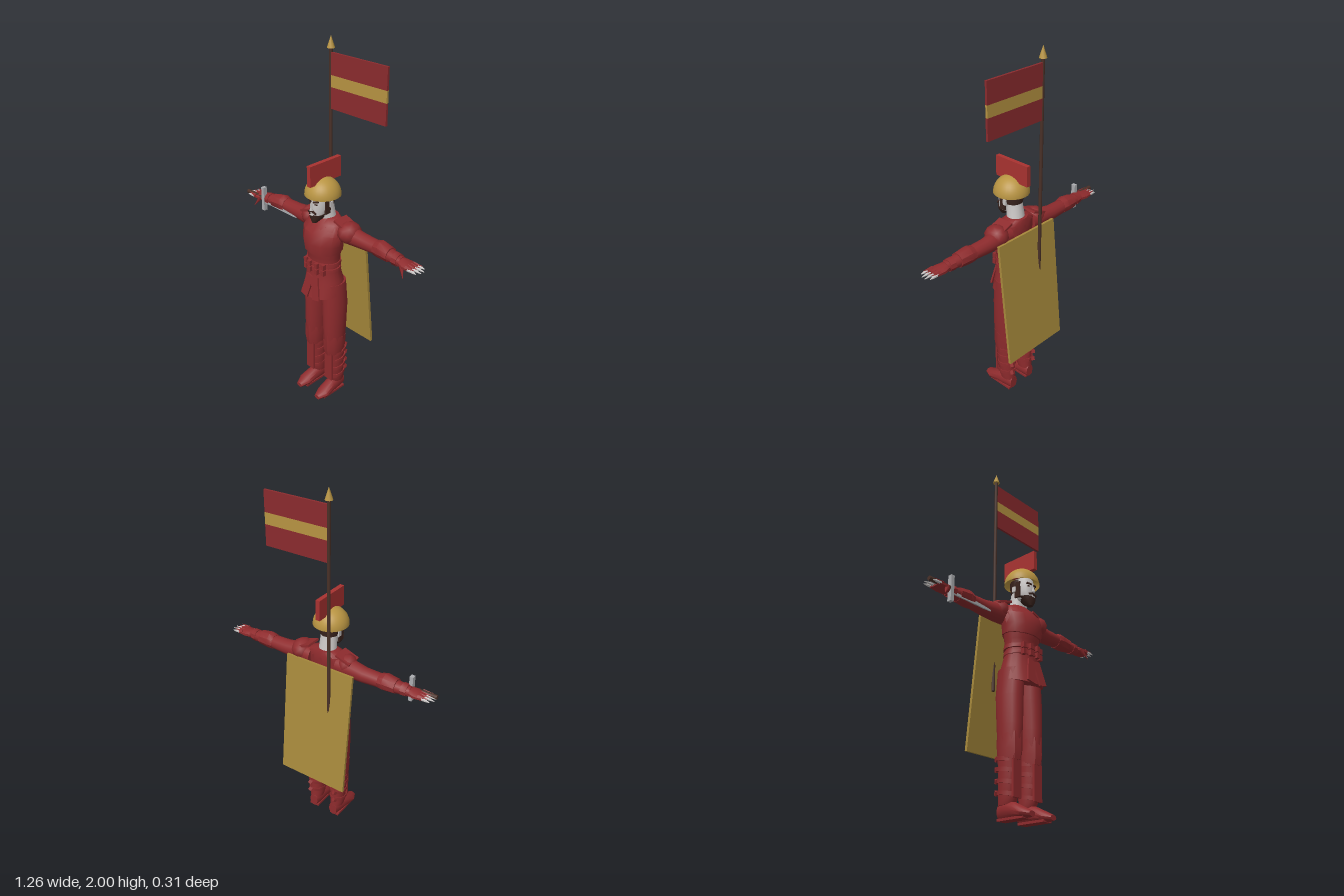
import * as THREE from 'three';
import { toCreasedNormals } from 'three/addons/utils/BufferGeometryUtils.js';

const paint = (name, color, side = THREE.FrontSide) => {
  const m = new THREE.MeshStandardMaterial({ color, side });
  m.name = name;
  return m;
};

// Skin through elliptical sections [y, cx, cz, rx, rz, tilt], lowest first
function loft(sections, sides = 16) {
  const pos = [], idx = [], n = sections.length;
  for (const [y, cx, cz, rx, rz, tilt = 0] of sections)
    for (let i = 0; i < sides; i++) {
      const a = (i / sides) * Math.PI * 2, z = cz + rz * Math.sin(a);
      pos.push(cx + rx * Math.cos(a), y - tilt * z, z);
    }
  for (const [y, cx, cz, , , tilt = 0] of [sections[0], sections[n - 1]]) pos.push(cx, y - tilt * cz, cz);
  const low = n * sides, high = low + 1;
  for (let i = 0; i < sides; i++) {
    const j = (i + 1) % sides, t = (n - 1) * sides;
    for (let r = 0; r < n - 1; r++) {
      const a = r * sides + i, b = r * sides + j;
      idx.push(a, a + sides, b, b, a + sides, b + sides);
    }
    idx.push(low, i, j, high, t + j, t + i);
  }
  const g = new THREE.BufferGeometry();
  g.setAttribute('position', new THREE.Float32BufferAttribute(pos, 3));
  g.setIndex(idx);
  return toCreasedNormals(g, 0.7);
}

export function createModel() {
  const model = new THREE.Group();
  const red = paint('clothRed', 0x8e2b2d), flagRed = paint('flagRed', 0x8b2b2e);
  const crestRed = paint('crestRed', 0xa93230), gold = paint('gold', 0xb89442, THREE.DoubleSide);
  const capeGold = paint('capeGold', 0xa88a3c), skin = paint('paleSkin', 0xc8c4c3);
  const hair = paint('darkHair', 0x3a231d), wood = paint('wood', 0x4a3128), metal = paint('metal', 0xacadb0);

  const add = (name, geo, mat, x = 0, y = 0, z = 0, parent = model) => {
    const m = new THREE.Mesh(geo, mat);
    m.name = name;
    m.position.set(x, y, z);
    parent.add(m);
    return m;
  };
  const box = (name, mat, w, h, d, x, y, z, parent) =>
    add(name, new THREE.BoxGeometry(w, h, d), mat, x, y, z, parent);

  // Tunic with a flared skirt whose hem hangs lower in front
  add('tunic', loft([
    [0.685, 0, 0.02, 0.12, 0.108, 0.22], [0.76, 0, 0.02, 0.112, 0.086, 0.1],
    [0.84, 0, 0.025, 0.095, 0.07], [0.9, 0, 0.025, 0.1, 0.076], [0.97, 0, 0.03, 0.114, 0.088],
    [1.04, 0, 0.02, 0.125, 0.084], [1.09, 0, 0, 0.11, 0.066], [1.115, 0, -0.01, 0.06, 0.05],
  ], 20), red);
  add('chestLayer', loft([
    [0.935, 0, 0.027, 0.115, 0.09, 0.1], [0.98, 0, 0.03, 0.121, 0.094],
    [1.04, 0, 0.022, 0.127, 0.087], [1.08, 0, 0.004, 0.112, 0.07],
  ], 12), red);
  for (const y of [0.815, 0.85]) {
    add('belt', loft([[y, 0, 0.025, 0.106, 0.081], [y + 0.022, 0, 0.025, 0.104, 0.079]]), red);
    for (const x of [-0.06, -0.02, 0.03, 0.065])
      box('beltTab', red, 0.02, 0.03, 0.02, x, y + 0.008, 0.11 - 4 * x * x);
  }
  for (const s of [-1, 1]) {
    const panel = box('skirtPanel', red, 0.05, 0.13, 0.01, s * 0.03, 0.72, 0.118);
    panel.rotation.set(-0.16, 0, s * 0.22);
  }

  // Head, face and beard
  add('neck', loft([[1.06, 0, -0.008, 0.064, 0.05], [1.12, 0, 0.002, 0.047, 0.046],
    [1.2, 0, 0.015, 0.042, 0.045]]), skin);
  add('head', loft([[1.12, 0, 0.075, 0.024, 0.028], [1.14, 0, 0.06, 0.042, 0.045],
    [1.18, 0, 0.046, 0.05, 0.06], [1.22, 0, 0.04, 0.053, 0.066], [1.26, 0, 0.035, 0.05, 0.06]]), skin);
  add('beard', loft([[1.1, 0, 0.088, 0.013, 0.016], [1.125, 0, 0.074, 0.036, 0.036],
    [1.15, 0, 0.067, 0.047, 0.044], [1.168, 0, 0.058, 0.05, 0.046, 0.25]]), hair);
  add('hair', loft([[1.19, 0, 0.018, 0.05, 0.05], [1.225, 0, 0.02, 0.056, 0.057],
    [1.255, 0, 0.022, 0.056, 0.06]]), hair);
  const nose = add('nose', new THREE.ConeGeometry(0.012, 0.045, 4), skin, 0, 1.196, 0.109);
  nose.rotation.x = -0.15;
  box('mouth', skin, 0.02, 0.005, 0.006, 0, 1.148, 0.111);
  for (const s of [-1, 1]) {
    const brow = box('eyebrow', hair, 0.03, 0.009, 0.008, s * 0.021, 1.222, 0.1);
    brow.rotation.set(0, s * 0.35, s * 0.2);
    box('eye', hair, 0.014, 0.007, 0.006, s * 0.021, 1.208, 0.098).rotation.y = s * 0.35;
    box('moustache', hair, 0.028, 0.009, 0.008, s * 0.014, 1.164, 0.107).rotation.z = -s * 0.35;
    box('sideburn', hair, 0.008, 0.09, 0.035, s * 0.05, 1.195, 0.045);
    box('ear', skin, 0.01, 0.03, 0.02, s * 0.055, 1.2, 0.025);
  }

  // Domed helmet with an upright crest
  add('helmet', new THREE.SphereGeometry(0.095, 28, 12, 0, Math.PI * 2, 0, Math.PI / 2), gold, 0, 1.24, 0.03);
  box('helmetCrest', crestRed, 0.024, 0.11, 0.215, 0, 1.362, 0.02);

  for (const s of [-1, 1]) {
    // Arm pieces run outward along x: sections [x, y, z, ry, rz]
    const limb = (name, mat, rows, sides = 14) => {
      const g = loft(rows.map(([x, y, z, ry, rz]) => [x, -s * y, z, ry, rz]), sides);
      return add(name, g.rotateZ(-s * Math.PI / 2), mat);
    };
    limb('sleeve', red, [[0.08, 1.045, -0.01, 0.05, 0.055], [0.15, 1.045, -0.015, 0.052, 0.048],
      [0.24, 1.04, -0.02, 0.042, 0.042], [0.33, 1.042, -0.02, 0.037, 0.04],
      [0.42, 1.038, -0.015, 0.034, 0.036], [0.5, 1.035, -0.01, 0.025, 0.03]]);
    limb('elbowCuff', red, [[0.33, 1.042, -0.019, 0.04, 0.042], [0.36, 1.045, -0.019, 0.046, 0.046],
      [0.425, 1.04, -0.015, 0.039, 0.041]], 9);
    limb('bracer', red, [[0.455, 1.037, -0.012, 0.034, 0.037], [0.485, 1.036, -0.01, 0.032, 0.035]], 9);
    limb('glove', red, [[0.49, 1.035, -0.01, 0.023, 0.03], [0.53, 1.034, -0.008, 0.02, 0.042],
      [0.58, 1.033, -0.006, 0.012, 0.038]], 10);
    for (let i = 0; i < 4; i++) {
      const z = -0.035 + i * 0.02, tip = i === 0 || i === 3 ? 0.615 : 0.63;
      limb('finger', skin, [[0.565, 1.034, z, 0.008, 0.009], [0.595, 1.034, z * 1.05, 0.007, 0.008],
        [tip, 1.032, z * 1.1, 0.002, 0.002]], 6);
      limb('gloveShred', red, [[0.55, 1.04, z, 0.01, 0.012], [0.605, 1.045, z, 0.001, 0.001]], 4);
    }
    const thumb = add('thumb', new THREE.ConeGeometry(0.014, 0.07, 5), red, s * 0.535, 1.008, 0.03);
    thumb.rotation.set(-0.4, 0, Math.PI + s * 0.5);

    // Faceted shoulder guard, larger on the left
    const big = s > 0;
    const pad = add('shoulderGuard', new THREE.IcosahedronGeometry(1, 1), red, s * (big ? 0.152 : 0.13), 1.06, -0.01);
    pad.scale.set(big ? 0.06 : 0.05, 0.058, big ? 0.068 : 0.055);
    pad.rotation.z = -s * 0.3;
    const flap = box('shoulderFlap', red, 0.09, 0.012, 0.09, s * 0.125, 1.1, -0.01);
    flap.rotation.z = -s * 0.35;

    // Trouser leg with knee flap and shin straps
    add('trouserLeg', loft([[0.07, s * 0.07, -0.005, 0.037, 0.045], [0.1, s * 0.071, 0.002, 0.042, 0.05],
      [0.2, s * 0.073, 0.005, 0.042, 0.053], [0.3, s * 0.073, 0.01, 0.047, 0.06],
      [0.37, s * 0.072, 0.013, 0.051, 0.067], [0.45, s * 0.071, 0.012, 0.055, 0.073],
      [0.6, s * 0.068, 0.008, 0.06, 0.078], [0.74, s * 0.06, 0.01, 0.058, 0.075]]), red);
    add('kneeFlap', loft([[0.29, s * 0.073, 0.012, 0.049, 0.063, 0.2], [0.34, s * 0.073, 0.014, 0.053, 0.07, 0.2],
      [0.395, s * 0.072, 0.013, 0.054, 0.07, -0.2]], 9), red);
    box('shinGuard', red, 0.055, 0.2, 0.012, s * 0.073, 0.2, 0.06);
    [0.115, 0.17, 0.225, 0.275].forEach((y, i) => {
      const r = 0.046 + i * 0.002;
      add('shinStrap', loft([[y, s * 0.073, 0.002, r, r + 0.011, 0.15],
        [y + 0.02, s * 0.073, 0.002, r, r + 0.012, 0.15]], 10), red);
      box('strapKnot', red, 0.02, 0.022, 0.02, s * 0.085, y + 0.018, -0.055).rotation.set(0.5, s * 0.4, 0.3);
    });

    // Shoe lofted from heel to toe
    const shoe = loft([[-0.048, s * 0.068, -0.045, 0.026, 0.04], [-0.01, s * 0.069, -0.05, 0.035, 0.05],
      [0.05, s * 0.072, -0.042, 0.037, 0.04], [0.11, s * 0.076, -0.027, 0.04, 0.026],
      [0.155, s * 0.074, -0.018, 0.02, 0.013]], 12);
    add('shoe', shoe.rotateX(Math.PI / 2), red);
    box('sole', red, 0.058, 0.012, 0.16, s * 0.071, 0.006, 0.04);
  }

  // Stiff cape sloping away from the back
  box('cape', capeGold, 0.41, 0.715, 0.015, 0, 0.685, -0.112).rotation.x = 0.105;

  // Banner on a pole with a pointed finial
  add('bannerPole', new THREE.CylinderGeometry(0.009, 0.009, 1.29, 10), wood, -0.075, 1.3, -0.1);
  add('finial', new THREE.ConeGeometry(0.02, 0.06, 8), gold, -0.075, 1.97, -0.1);
  [[1.865, 0.11, flagRed], [1.78, 0.06, gold], [1.695, 0.11, flagRed]].forEach(([y, h, mat]) =>
    box('bannerStripe', mat, 0.36, h, 0.012, 0.11, y, -0.1));

  // Short sword held along the right forearm
  const sword = new THREE.Group();
  sword.name = 'sword';
  sword.position.set(-0.49, 1.038, 0.014);
  model.add(sword);
  const grip = add('grip', new THREE.CylinderGeometry(0.012, 0.012, 0.14, 8), wood, -0.07, 0, 0, sword);
  grip.rotation.z = Math.PI / 2;
  box('guard', metal, 0.02, 0.14, 0.024, 0, 0, 0, sword);
  box('blade', metal, 0.27, 0.03, 0.008, 0.135, -0.01, 0, sword);

  return model;
}
